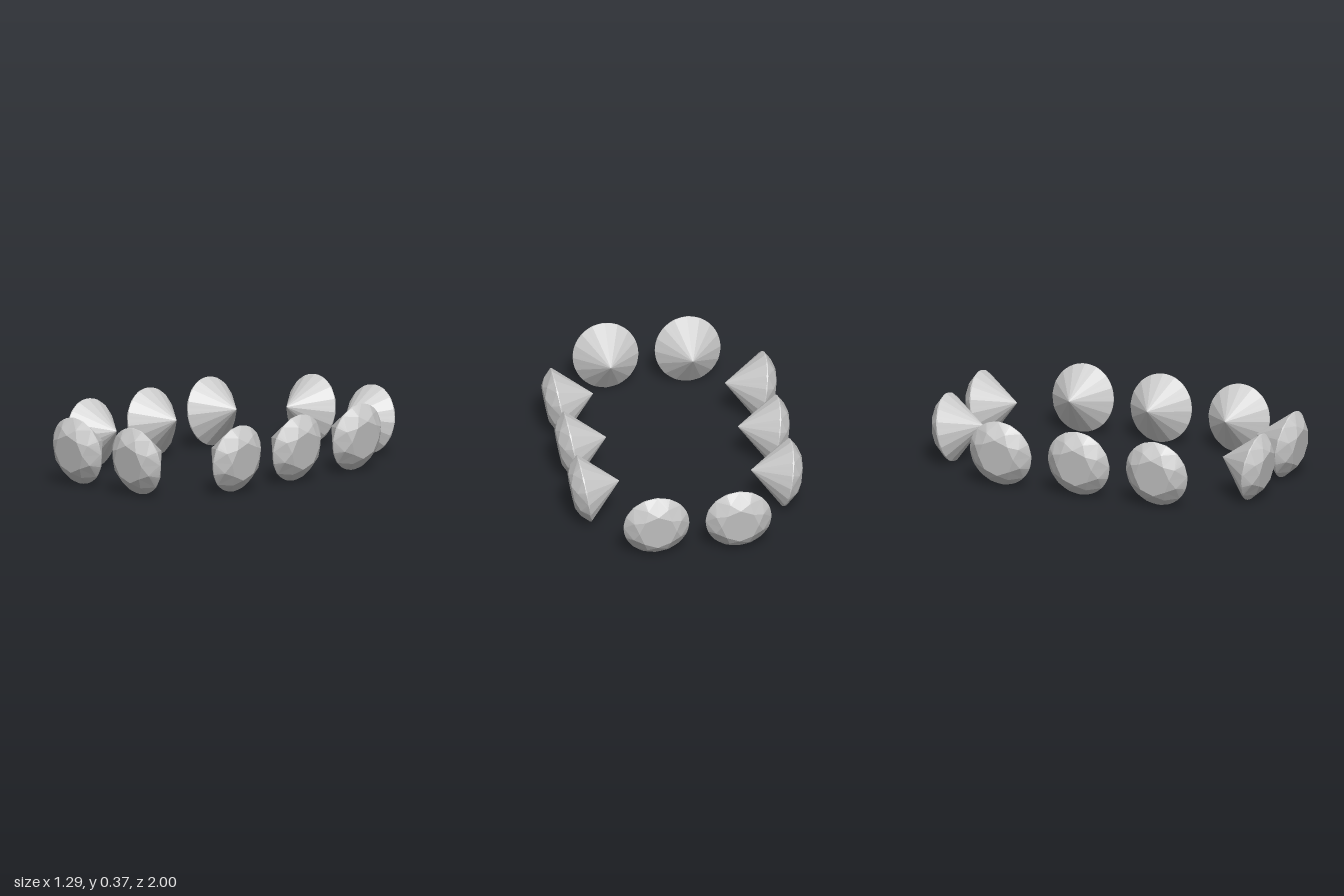
import * as THREE from 'three';

// Gem proportions; radii are fractions of the girdle radius
const RADIUS_X = 0.182, RADIUS_Y = 0.189;
const TABLE_R = 0.57, TABLE_H = 0.071;
const STAR_R = 0.78, STAR_H = 0.049;
const DEPTH = 0.198;
const ARC = 4; // girdle steps per facet

// Round brilliant cut, crown towards +z, point towards -z
function brilliantGeometry() {
  const positions = [];
  const point = (angle, r, z) => [RADIUS_X * r * Math.cos(angle), RADIUS_Y * r * Math.sin(angle), z];
  const tri = (a, b, c) => positions.push(...a, ...b, ...c);
  const step = Math.PI / 8;
  const tip = [0, 0, -DEPTH];
  const tableCentre = [0, 0, TABLE_H];
  const table = (i) => point(i * step, TABLE_R, TABLE_H);
  const star = (i) => point(i * step, STAR_R, STAR_H);
  // Scalloped edges where the flat facets meet the round girdle
  const wave = (k) => Math.sin(Math.PI * (k % ARC) / ARC);
  const upper = (k) => point(k * step / ARC, 1, 0.006 - 0.0025 * wave(k));
  const lower = (k) => point(k * step / ARC, 1, -0.004 + 0.0038 * wave(k));

  for (let i = 0; i < 16; i += 2) {
    // Table, star facet and the two halves of the kite facets
    tri(tableCentre, table(i), table(i + 2));
    tri(table(i), star(i + 1), table(i + 2));
    tri(table(i), upper(i * ARC), star(i + 1));
    tri(table(i + 2), star(i + 1), upper((i + 2) * ARC));
    // Upper girdle facets
    for (let k = i * ARC; k < (i + 2) * ARC; k++) tri(star(i + 1), upper(k), upper(k + 1));
  }
  // Girdle band and pavilion
  for (let k = 0; k < 16 * ARC; k++) {
    tri(lower(k), lower(k + 1), upper(k + 1));
    tri(lower(k), upper(k + 1), upper(k));
    tri(tip, lower(k + 1), lower(k));
  }

  const geometry = new THREE.BufferGeometry();
  geometry.setAttribute('position', new THREE.Float32BufferAttribute(positions, 3));
  geometry.computeVertexNormals();
  return geometry;
}

export function createModel() {
  const model = new THREE.Group();
  model.name = 'gemRing';
  const geometry = brilliantGeometry();
  const material = new THREE.MeshStandardMaterial({ color: 0xcccccc, flatShading: true });

  // Each gem faces outward and leans slightly down
  const addGem = (name, x, z, turn) => {
    const gem = new THREE.Mesh(geometry, material);
    gem.name = name;
    gem.position.set(x, 0.19, z);
    gem.rotation.set(0.162, turn, 0, 'YXZ');
    model.add(gem);
  };

  for (const [side, s] of [['left', 1], ['right', -1]]) {
    addGem(`${side}FrontGem`, s * 0.228, 0.912, 0);
    addGem(`${side}BackGem`, s * 0.228, -0.912, Math.PI);
    [0.468, 0, -0.468].forEach((z, i) => addGem(`${side}SideGem${i + 1}`, s * 0.56, z, s * Math.PI / 2));
  }
  return model;
}
